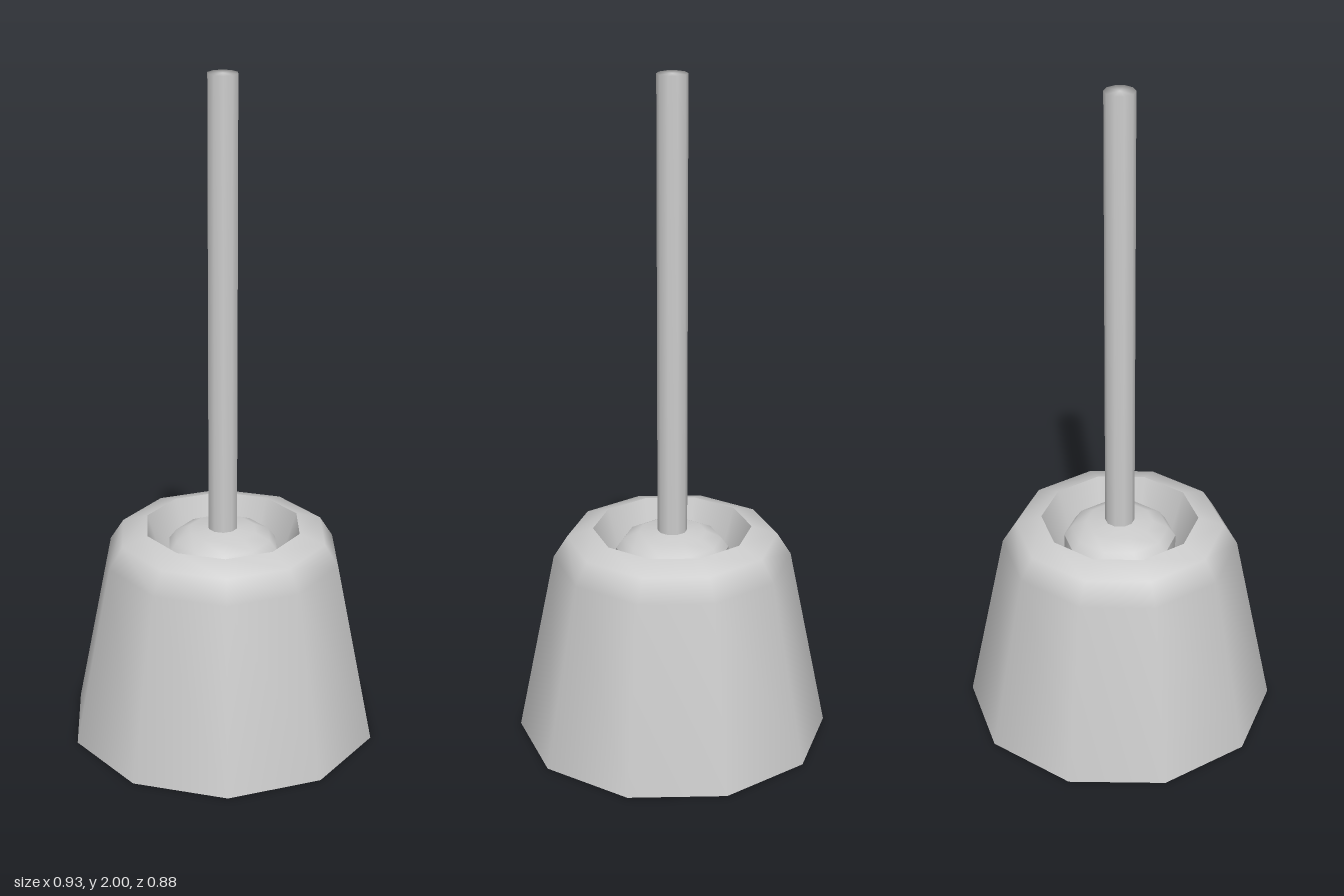
import * as THREE from 'three';

const material = new THREE.MeshStandardMaterial({ color: 0xcccccc });

// Ten-sided turned surface with a corner on the x axis
function turned(name, profile) {
  const points = profile.map(([r, y]) => new THREE.Vector2(r, y));
  const mesh = new THREE.Mesh(new THREE.LatheGeometry(points, 10, Math.PI / 2), material);
  mesh.name = name;
  return mesh;
}

export function createModel() {
  const model = new THREE.Group();
  model.name = 'brushInHolder';

  // Holder: flat base, tapered shell with a rounded shoulder, sunken opening
  const holder = new THREE.Group();
  holder.name = 'holder';
  holder.add(
    turned('holderBase', [[0, 0], [0.465, 0]]),
    turned('holderShell', [[0.465, 0], [0.353, 0.56], [0.312, 0.625], [0.235, 0.65]]),
    turned('holderOpening', [[0.235, 0.65], [0.15, 0.4]]),
    turned('holderFloor', [[0.15, 0.4], [0, 0.4]])
  );

  // Brush: domed head resting in the opening, with a long handle
  const brush = new THREE.Group();
  brush.name = 'brush';
  brush.add(
    turned('brushHeadSide', [[0.167, 0.42], [0.167, 0.585]]),
    turned('brushHeadDome', [[0.167, 0.585], [0.145, 0.615], [0.1, 0.637], [0, 0.648]]),
    turned('handle', [[0.044, 0.6], [0.044, 2], [0, 2]])
  );

  model.add(holder, brush);
  return model;
}
